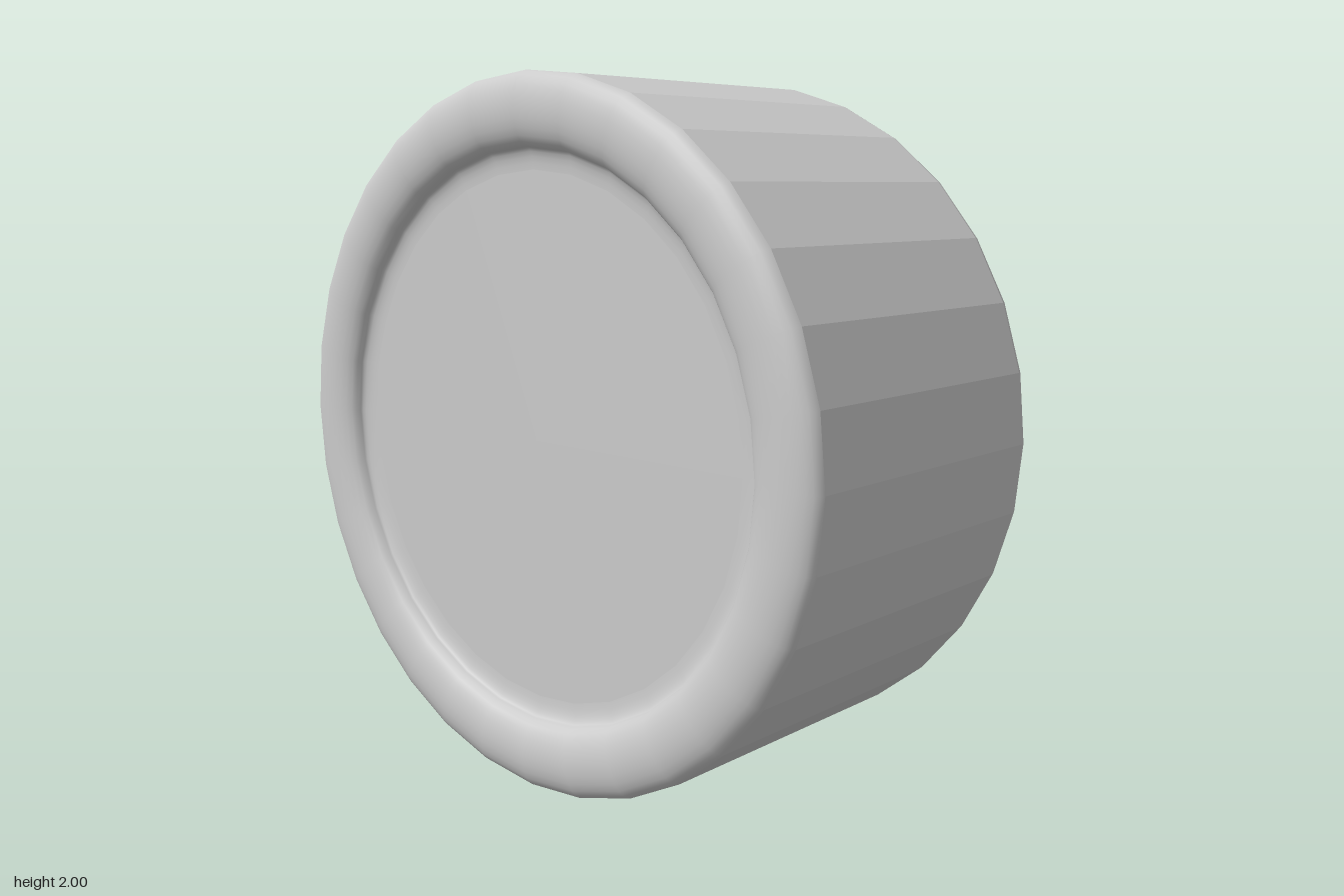
import * as THREE from 'three';

const SIDES = 32;
const RIM_Z = 0.45; // where the straight wall meets the rounded rim

// Profile from the outer wall, over the rounded rim, down into the recessed face
function endProfile() {
  const pts = [];
  for (let i = 0; i <= 12; i++) {
    const a = (i / 12) * Math.PI;
    pts.push(new THREE.Vector2(0.9 + 0.1 * Math.cos(a), RIM_Z + 0.05 * Math.sin(a)));
  }
  // concave fillet between recess wall and floor
  for (let i = 1; i <= 5; i++) {
    const a = (i / 5) * Math.PI / 2;
    pts.push(new THREE.Vector2(0.74 + 0.06 * Math.cos(a), RIM_Z - 0.02 * Math.sin(a)));
  }
  return pts;
}

export function createModel() {
  const group = new THREE.Group();
  group.name = 'drum';
  const smooth = new THREE.MeshStandardMaterial({ color: 0xcccccc });
  const faceted = new THREE.MeshStandardMaterial({ color: 0xcccccc, flatShading: true });

  const add = (name, geometry, material) => {
    const mesh = new THREE.Mesh(geometry, material);
    mesh.name = name;
    mesh.position.y = 1;
    group.add(mesh);
    return mesh;
  };

  // faceted side wall
  const wall = new THREE.CylinderGeometry(1, 1, RIM_Z * 2, SIDES, 1, true);
  add('sideWall', wall.rotateX(Math.PI / 2), faceted);

  // rounded rim and recessed face at each end
  for (const [side, sign] of [['front', 1], ['back', -1]]) {
    const turn = sign * Math.PI / 2;
    add(side + 'Rim', new THREE.LatheGeometry(endProfile(), SIDES).rotateX(turn), smooth);
    const face = new THREE.CircleGeometry(0.74, SIDES);
    if (sign < 0) face.rotateY(Math.PI);
    add(side + 'Face', face, smooth).position.z = sign * (RIM_Z - 0.02);
  }
  return group;
}
